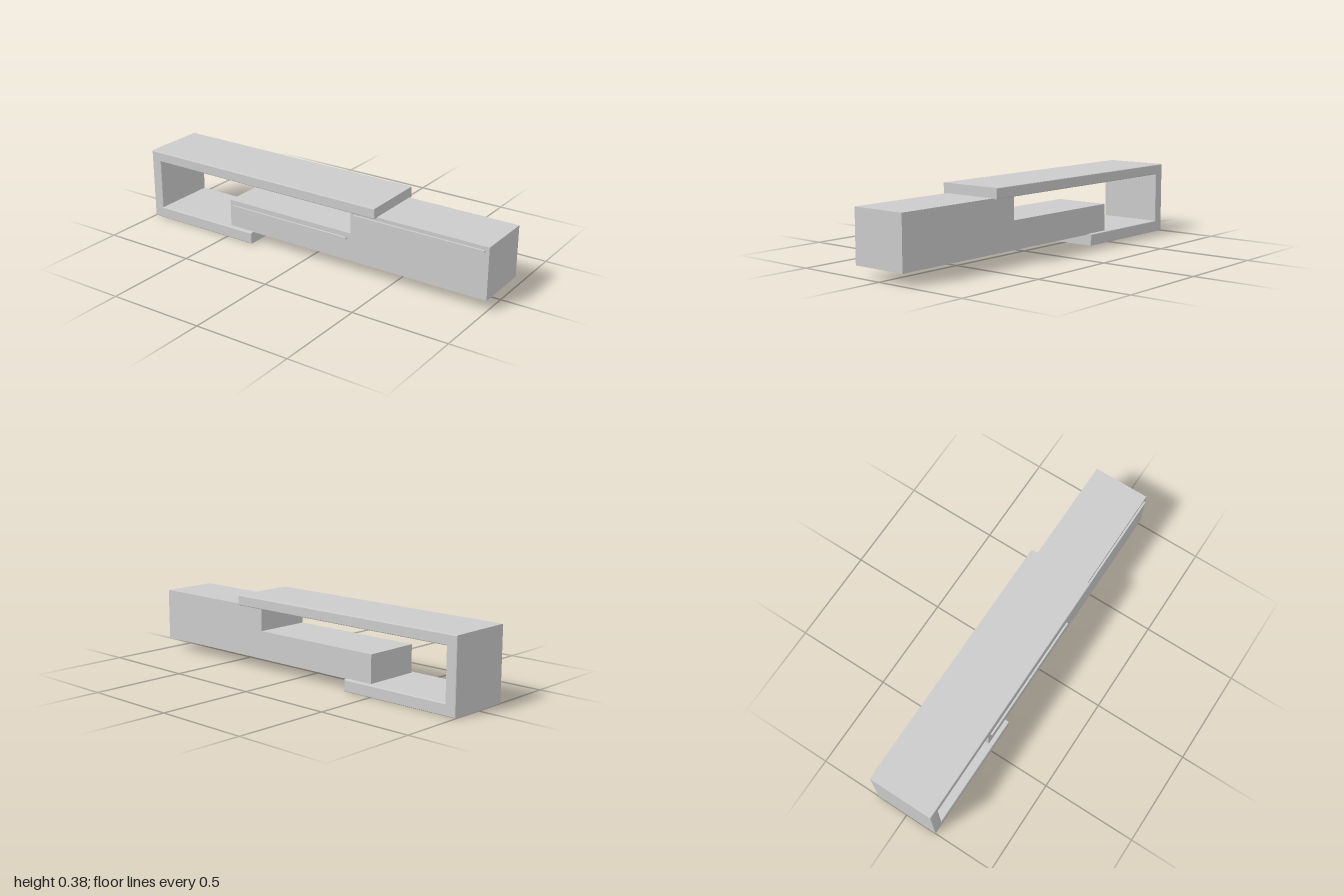
import * as THREE from 'three';

const material = new THREE.MeshStandardMaterial({ color: 0xcccccc });

// Box given by its minimum and maximum corners
function box(name, [x0, y0, z0], [x1, y1, z1]) {
  const mesh = new THREE.Mesh(new THREE.BoxGeometry(x1 - x0, y1 - y0, z1 - z0), material);
  mesh.position.set((x0 + x1) / 2, (y0 + y1) / 2, (z0 + z1) / 2);
  mesh.name = name;
  return mesh;
}

// Cabinet with a long pull rail near the top of its front
function cabinet(name, x0, x1, top, railY) {
  const group = new THREE.Group();
  group.name = name;
  group.add(
    box('cabinetBody', [x0, 0.057, -0.15], [x1, top, 0.15]),
    box('pullRail', [x0 + 0.02, railY - 0.005, 0.149], [x1 - 0.02, railY + 0.005, 0.16])
  );
  return group;
}

export function createModel() {
  const model = new THREE.Group();
  model.name = 'mediaConsole';

  // C-shaped frame: long top shelf, side panel, short bottom shelf
  const profile = [
    [-1, 0], [-0.338, 0], [-0.338, 0.06], [-0.942, 0.06],
    [-0.942, 0.322], [0.405, 0.322], [0.405, 0.376], [-1, 0.376],
  ];
  const shape = new THREE.Shape(profile.map(([x, y]) => new THREE.Vector2(x, y)));
  const bevel = 0.005, depth = 0.347;
  const geometry = new THREE.ExtrudeGeometry(shape, {
    depth: depth - 2 * bevel,
    bevelEnabled: true,
    bevelSize: bevel,
    bevelThickness: bevel,
    bevelOffset: -bevel,
    bevelSegments: 3,
  });
  geometry.translate(0, 0, bevel - depth / 2);
  const frame = new THREE.Mesh(geometry, material);
  frame.name = 'shelfFrame';
  model.add(frame);

  // Low and tall cabinets side by side
  model.add(cabinet('lowCabinet', -0.488, 0.256, 0.203, 0.173));
  model.add(cabinet('tallCabinet', 0.256, 1, 0.325, 0.301));

  return model;
}
